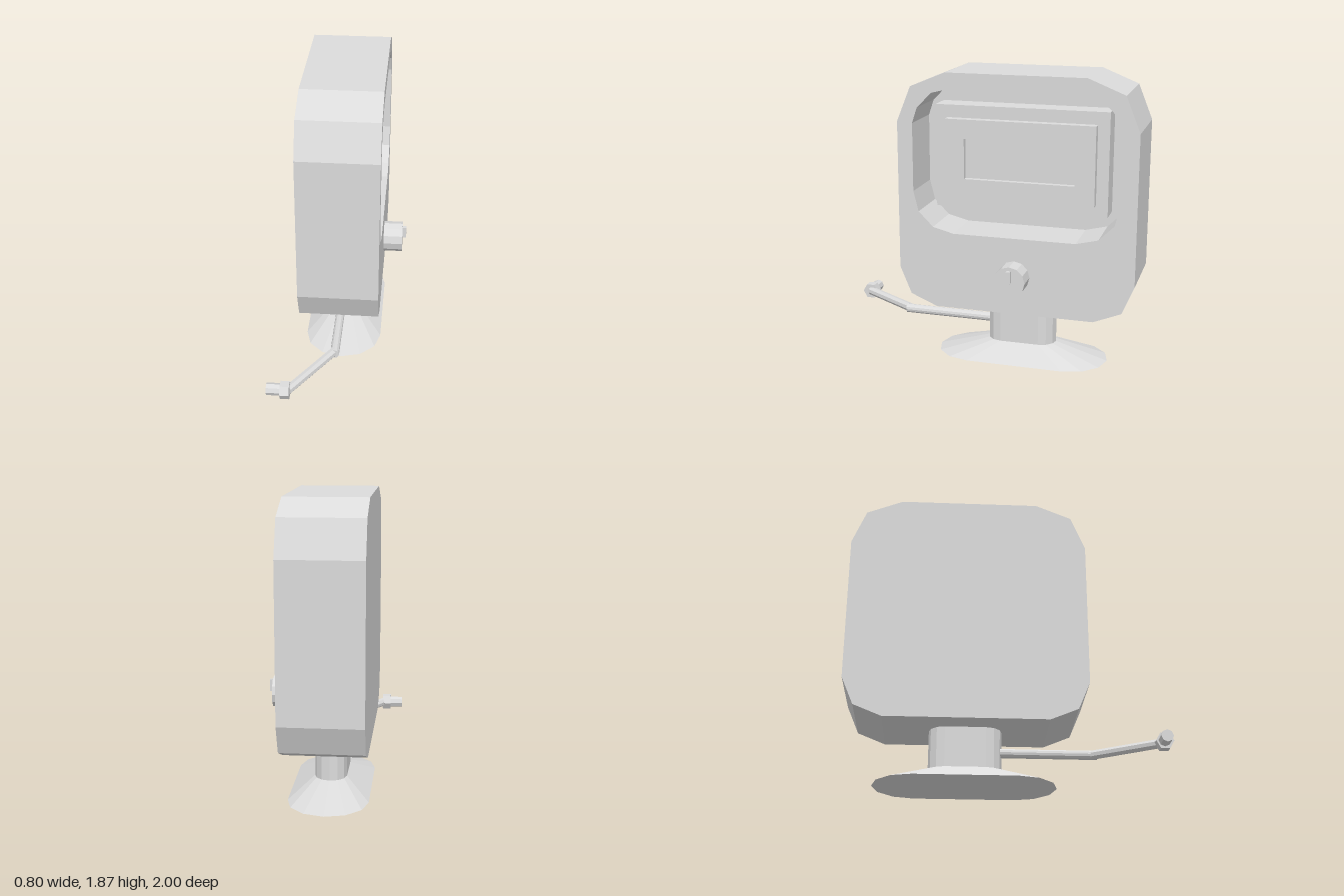
import * as THREE from 'three';

const grey = new THREE.MeshStandardMaterial({ color: 0xdbdbdb, flatShading: true });
grey.name = 'light grey';

export function createModel() {
  const model = new THREE.Group();
  model.name = 'displayTerminal';

  const add = (name, geometry, x = 0, y = 0, z = 0) => {
    const mesh = new THREE.Mesh(geometry, grey);
    mesh.name = name;
    mesh.position.set(x, y, z);
    model.add(mesh);
    return mesh;
  };
  // Profiles are [z, y] points listed anticlockwise as seen from +x, extruded along x
  const toVectors = pts => pts.map(([z, y]) => new THREE.Vector2(-z, y));
  const rect = (z0, z1, y0, y1) => [[z0, y0], [z1, y0], [z1, y1], [z0, y1]];
  const slab = (name, outline, x0, x1, hole) => {
    const shape = new THREE.Shape(toVectors(outline));
    if (hole) shape.holes.push(new THREE.Path(toVectors(hole)));
    const g = new THREE.ExtrudeGeometry(shape, { depth: x1 - x0, bevelEnabled: false });
    g.rotateY(Math.PI / 2);
    add(name, g, x0);
  };
  // Cylinder between two points
  const rod = (name, a, b, radius, sides) => {
    const from = new THREE.Vector3(...a), dir = new THREE.Vector3(...b).sub(from);
    const mesh = add(name, new THREE.CylinderGeometry(radius, radius, dir.length(), sides));
    mesh.position.copy(from).addScaledVector(dir, 0.5);
    mesh.quaternion.setFromUnitVectors(new THREE.Vector3(0, 1, 0), dir.normalize());
  };

  // Housing with chamfered corners and a deep window in its +x face
  const housing = [
    [0.517, 0.605], [0.443, 0.428], [0.27, 0.356], [-0.75, 0.356], [-0.925, 0.428], [-1, 0.605],
    [-1, 1.555], [-0.91, 1.777], [-0.68, 1.87], [0.2, 1.87], [0.427, 1.777], [0.517, 1.555],
  ];
  const opening = [
    [0.418, 1.113], [0.385, 0.983], [0.29, 0.888], [0.155, 0.853],
    [-0.63, 0.853], [-0.77, 0.888], [-0.865, 0.983], [-0.9, 1.113],
    [-0.9, 1.548], [-0.865, 1.647], [-0.77, 1.742], [-0.63, 1.776],
    [0.155, 1.776], [0.29, 1.742], [0.385, 1.647], [0.418, 1.548],
  ];
  const floor = -0.07;
  slab('housingBack', housing, -0.255, floor);
  slab('housingFrame', housing, floor, 0.25, opening);

  // Stepped display inside the window
  const bezel = rect(0.24, -0.72, 1.063, 1.567);
  slab('displayPlate', rect(0.315, -0.795, 0.988, 1.647), floor, 0.09);
  slab('displayScreen', bezel, 0.09, 0.11);
  slab('displayBezel', bezel, 0.11, 0.147, rect(0.115, -0.595, 1.187, 1.445));

  // Knob with pointer
  rod('knob', [0.25, 0.607, -0.242], [0.375, 0.607, -0.242], 0.1, 12);
  add('knobPointer', new THREE.BoxGeometry(0.03, 0.075, 0.027), 0.385, 0.645, -0.242);

  // Stem and flared foot: stadium-shaped rings lofted from bottom to top
  const ring = (scale, y) => {
    const pts = [];
    for (const end of [0, 1]) {
      for (let i = 0; i <= 6; i++) {
        const a = Math.PI * (end + i / 6);
        pts.push([Math.cos(a) * 0.1 * scale, y, (Math.sin(a) * 0.1 + (end ? -0.126 : 0.126)) * scale]);
      }
    }
    return pts;
  };
  const loft = (name, lower, upper) => {
    const n = lower.length, pos = [...lower, ...upper].flat(), index = [];
    for (let i = 0; i < n; i++) {
      const j = (i + 1) % n;
      index.push(i, n + i, j, j, n + i, n + j);
    }
    for (let i = 1; i < n - 1; i++) index.push(0, i, i + 1, n, n + i + 1, n + i);
    const g = new THREE.BufferGeometry();
    g.setAttribute('position', new THREE.Float32BufferAttribute(pos, 3));
    g.setIndex(index);
    const flat = g.toNonIndexed();
    flat.computeVertexNormals();
    add(name, flat, 0, 0, -0.24);
  };
  loft('foot', ring(2.5, 0), ring(1, 0.1));
  loft('stem', ring(1, 0.1), ring(1, 0.36));

  // Bent arm with a hexagonal nut and a short end rod
  const y = 0.215;
  rod('armInner', [-0.018, y, -0.06], [-0.018, y, 0.575], 0.029, 12);
  rod('armOuter', [-0.018, y, 0.54], [-0.27, y, 0.945], 0.029, 8);
  rod('armNut', [-0.258, y, 0.945], [-0.315, y, 0.945], 0.055, 6);
  rod('armEndRod', [-0.27, y, 0.942], [-0.4, y, 0.942], 0.038, 8);

  return model;
}
